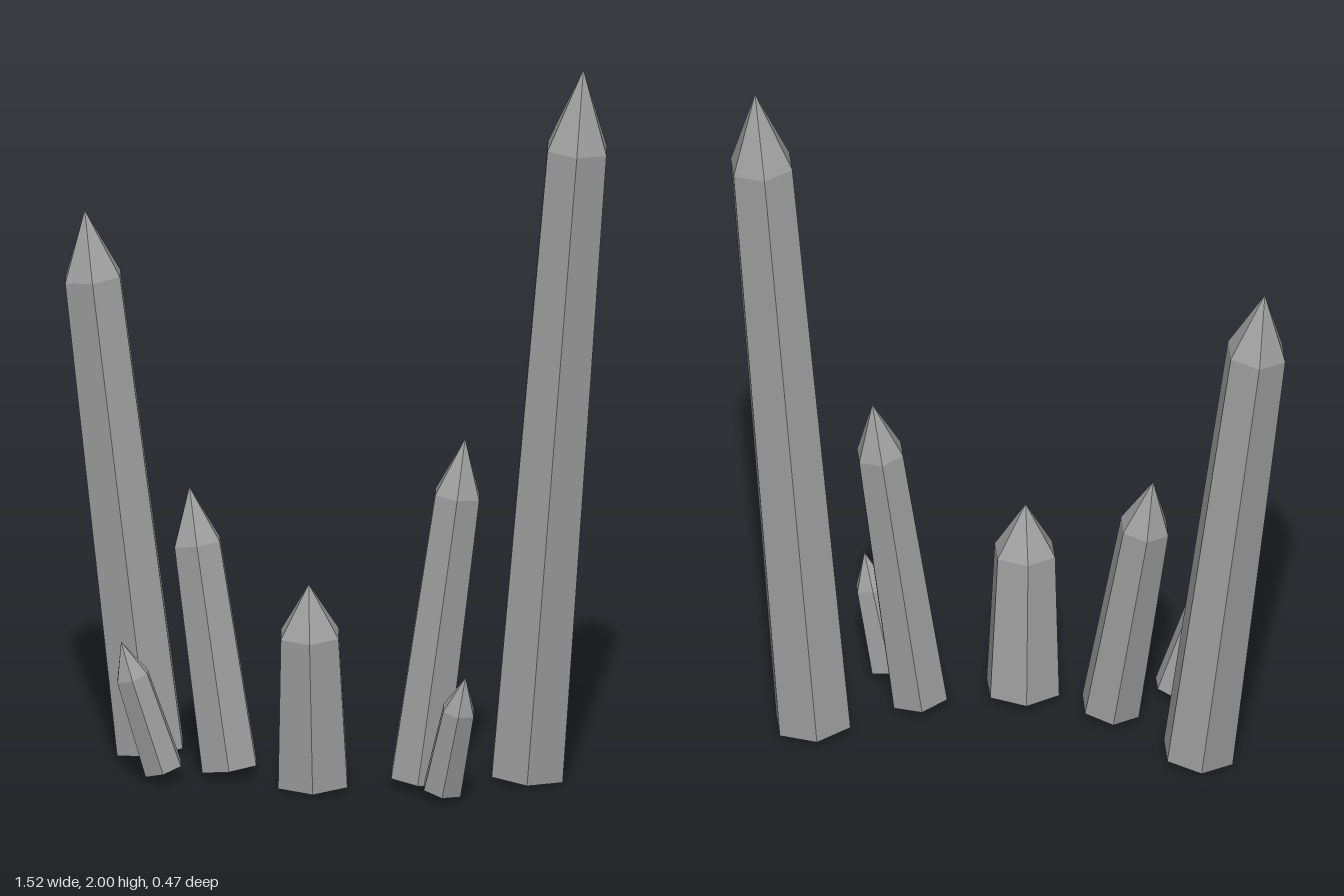
import * as THREE from 'three';

// Each crystal: base centre, base radius, shoulder centre, shoulder radius, tip height
const CRYSTALS = [
  { name: 'tallCrystalLeft', base: [0.525, 0.01, -0.122], r0: 0.111, top: [0.67, 1.777, -0.093], r1: 0.092, tip: 2.0 },
  { name: 'tallCrystalRight', base: [-0.525, 0.012, -0.135], r0: 0.103, top: [-0.684, 1.32, -0.135], r1: 0.086, tip: 1.505 },
  { name: 'mediumCrystalLeft', base: [0.257, 0.02, 0.026], r0: 0.084, top: [0.36, 0.813, 0.0], r1: 0.069, tip: 0.97 },
  { name: 'mediumCrystalRight', base: [-0.262, 0.023, 0.042], r0: 0.085, top: [-0.36, 0.635, 0.006], r1: 0.071, tip: 0.787 },
  { name: 'centreCrystal', base: [-0.014, 0.016, 0.111], r0: 0.108, top: [-0.015, 0.437, 0.143], r1: 0.09, tip: 0.58 },
  { name: 'smallCrystalLeft', base: [0.354, 0.028, 0.147], r0: 0.058, top: [0.407, 0.26, 0.18], r1: 0.048, tip: 0.358 },
  { name: 'smallCrystalRight', base: [-0.422, 0.033, 0.14], r0: 0.058, top: [-0.502, 0.293, 0.163], r1: 0.049, tip: 0.39 },
];

// Six-sided tapered shaft with a pointed cap and closed base, leaning along its axis
function crystal({ name, base, r0, top, r1, tip }, material) {
  const start = new THREE.Vector3(...base);
  const axis = new THREE.Vector3(...top).sub(start);
  const shaft = axis.length();
  axis.normalize();
  const length = (tip - start.y) / axis.y;

  const profile = [[0, 0], [r0, 0], [r1, shaft], [0, length]].map(p => new THREE.Vector2(...p));
  const lathe = new THREE.LatheGeometry(profile, 6, THREE.MathUtils.degToRad(13));
  const geometry = lathe.toNonIndexed(); // separate facets for crisp flat faces
  geometry.computeVertexNormals();

  const mesh = new THREE.Mesh(geometry, material);
  mesh.name = name;
  mesh.position.copy(start);
  mesh.quaternion.setFromUnitVectors(new THREE.Vector3(0, 1, 0), axis);
  return mesh;
}

export function createModel() {
  const stone = new THREE.MeshStandardMaterial({ color: 0x9e9e9e });
  stone.name = 'grey crystal';

  const group = new THREE.Group();
  group.name = 'crystalCluster';
  for (const spec of CRYSTALS) group.add(crystal(spec, stone));
  return group;
}
